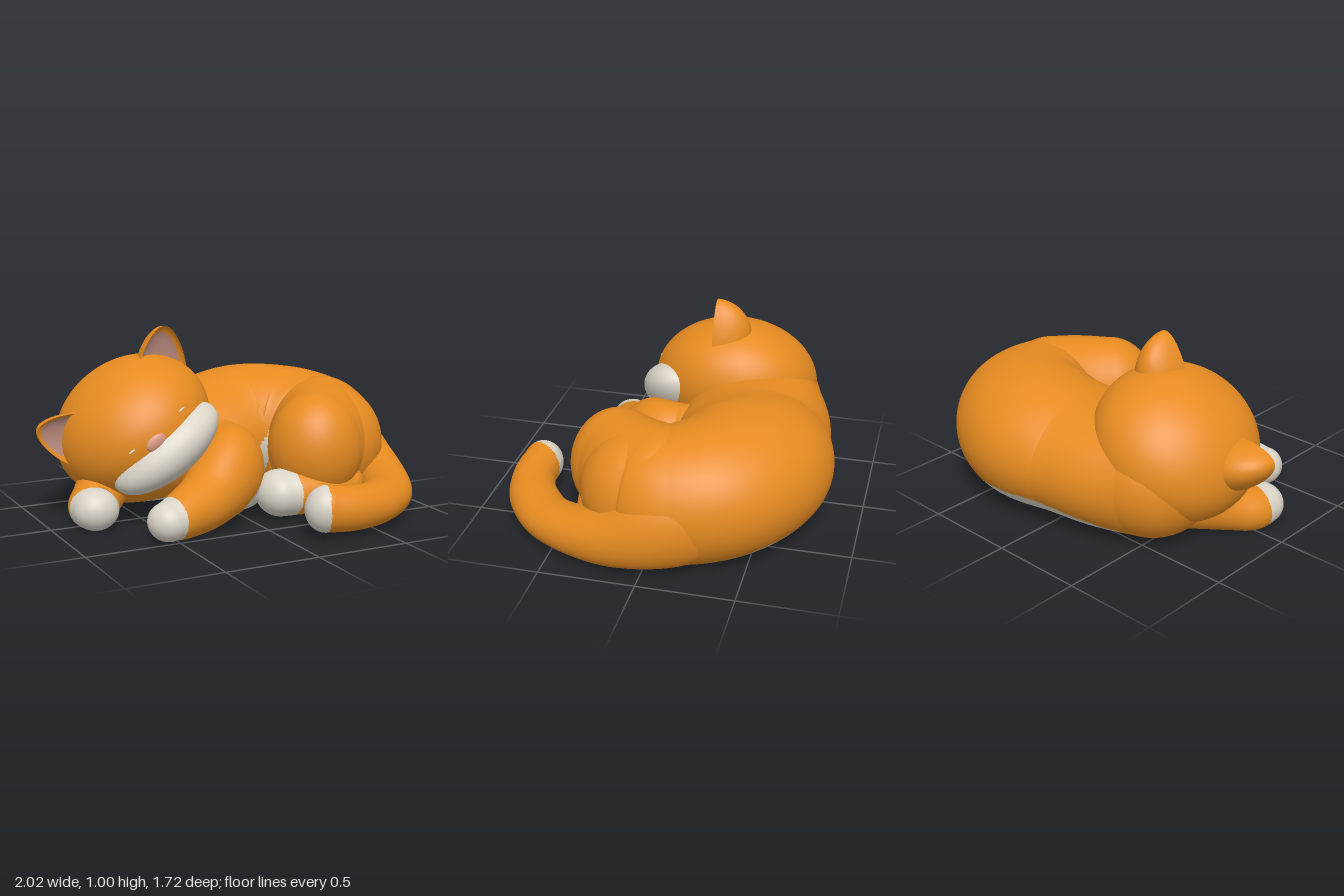
import * as THREE from 'three';

const material = (name, color) => Object.assign(new THREE.MeshStandardMaterial({ color }), { name });

// Index a grid of rings; triangles passing the rule go to the second material.
function gridMesh(name, verts, rings, sides, mats, rule) {
  const geo = new THREE.BufferGeometry();
  geo.setAttribute('position', new THREE.Float32BufferAttribute(verts.flatMap(v => [v.x, v.y, v.z]), 3));
  const lists = [[], []];
  const add = (a, b, c) => {
    const mid = verts[a].clone().add(verts[b]).add(verts[c]).divideScalar(3);
    lists[rule(mid) ? 1 : 0].push(a, b, c);
  };
  for (let i = 0; i < rings - 1; i++) {
    for (let j = 0; j < sides; j++) {
      const k = (j + 1) % sides;
      const a = i * sides + j, b = i * sides + k, c = a + sides, d = b + sides;
      add(a, c, b);
      add(b, c, d);
    }
  }
  geo.setIndex(lists[0].concat(lists[1]));
  geo.addGroup(0, lists[0].length, 0);
  geo.addGroup(lists[0].length, lists[1].length, 1);
  geo.computeVertexNormals();
  const mesh = new THREE.Mesh(geo, mats);
  mesh.name = name;
  return mesh;
}

// Round-ended sweep through stations [x, y, z, half width, half height], resting on a floor.
function sweep(name, stations, mats, rule, floor = 0.01, steps = 64, sides = 64) {
  const curve = pick => new THREE.CatmullRomCurve3(stations.map(pick), false, 'catmullrom');
  const path = curve(s => new THREE.Vector3(s[0], s[1], s[2]));
  const size = curve(s => new THREE.Vector3(s[3], s[4], 0));
  const verts = [], up = new THREE.Vector3(0, 1, 0), cap = 16;
  let rings = 0;
  const ring = (t, angle, dir) => {
    const T = path.getTangent(t), S = T.clone().cross(up).normalize(), U = S.clone().cross(T);
    const r = size.getPoint(t), k = Math.max(Math.sin(angle), 0.002);
    const c = path.getPoint(t).addScaledVector(T, dir * Math.cos(angle) * Math.min(r.x, r.y));
    for (let j = 0; j < sides; j++) {
      const a = j / sides * Math.PI * 2;
      const v = c.clone().addScaledVector(S, Math.cos(a) * r.x * k).addScaledVector(U, Math.sin(a) * r.y * k);
      v.y = Math.max(v.y, floor);
      verts.push(v);
    }
    rings++;
  };
  for (let i = 0; i < cap; i++) ring(0, i / cap * Math.PI / 2, -1);
  for (let i = 0; i <= steps; i++) ring(i / steps, Math.PI / 2, 0);
  for (let i = cap - 1; i >= 0; i--) ring(1, i / cap * Math.PI / 2, 1);
  return gridMesh(name, verts, rings, sides, mats, rule);
}

function ellipsoid(name, mat, pos, radii) {
  const mesh = new THREE.Mesh(new THREE.SphereGeometry(1, 64, 40).scale(...radii), mat);
  mesh.name = name;
  mesh.position.set(...pos);
  return mesh;
}

// Ear: a dome whose front is pushed back into a bowl with a coloured lining.
function ear(name, fur, lining) {
  const verts = [], rings = 41, sides = 56, w = 0.135, h = 0.205;
  for (let i = 0; i < rings; i++) {
    const f = Math.PI * (0.001 + 0.998 * i / (rings - 1));
    for (let j = 0; j < sides; j++) {
      const a = -j / sides * Math.PI * 2;
      const x = Math.sin(f) * Math.cos(a), y = Math.sin(f) * Math.sin(a), z = -Math.cos(f);
      verts.push(new THREE.Vector3(x * w * (1 - 0.28 * y), y * h, z * (z > 0 ? -0.07 : 0.19)));
    }
  }
  // the lining is the part of the bowl inside the rim
  const inside = v => v.z > -0.072 && (v.x / w / (1 - 0.28 * v.y / h)) ** 2 + (v.y / h) ** 2 < 0.7;
  return gridMesh(name, verts, rings, sides, [fur, lining], inside);
}

export function createModel() {
  const fur = material('orange fur', 0xe68b21);
  const white = material('white fur', 0xdad4c7);
  const pink = material('nose pink', 0xdc9a84);
  const lining = material('ear lining', 0xb98a7c);
  const two = [fur, white];
  const cat = new THREE.Group();
  cat.name = 'sleepingCat';

  // curled body with pale belly underneath
  const chestPatch = v => v.x > -0.15 && v.x < 0.28 && v.z > -0.1 && v.y < (v.x + 0.15) * 0.93;
  const belly = v => chestPatch(v) ||
    ((v.x - 0.15) / 0.68) ** 2 + ((v.y + 0.05) / 0.27) ** 2 + ((v.z + 0.5) / 0.55) ** 2 < 1;
  cat.add(sweep('body', [
    [-0.44, 0.34, -0.34, 0.35, 0.33],
    [-0.22, 0.325, -0.37, 0.4, 0.325],
    [0.03, 0.325, -0.39, 0.42, 0.33],
    [0.3, 0.345, -0.42, 0.43, 0.36],
    [0.52, 0.34, -0.3, 0.4, 0.36],
    [0.62, 0.32, -0.09, 0.355, 0.35],
    [0.6, 0.33, 0.08, 0.3, 0.32],
  ], two, belly, 0.01, 140, 128));
  cat.add(ellipsoid('chest', white, [0, 0.155, 0.08], [0.17, 0.14, 0.22]));

  // front legs
  cat.add(sweep('leftFrontLeg', [
    [-0.01, 0.31, -0.03, 0.15, 0.18],
    [-0.05, 0.26, 0.16, 0.18, 0.22],
    [-0.25, 0.16, 0.3, 0.16, 0.16],
    [-0.43, 0.12, 0.4, 0.13, 0.125],
    [-0.54, 0.105, 0.445, 0.11, 0.1],
  ], two, v => 0.95 * v.x - 0.25 * v.z < -0.585 || (v.x > -0.15 && v.y < (v.x + 0.15) * 0.93), 0.005, 80));
  cat.add(sweep('rightFrontLeg', [
    [-0.6, 0.2, -0.22, 0.15, 0.16],
    [-0.71, 0.14, -0.07, 0.135, 0.13],
    [-0.78, 0.112, 0.02, 0.125, 0.115],
    [-0.79, 0.112, 0.1, 0.12, 0.108],
  ], two, v => v.z - 0.25 * v.x > 0.26, 0.004));

  // hind leg
  cat.add(sweep('thigh', [
    [0.62, 0.355, -0.04, 0.3, 0.32],
    [0.54, 0.35, 0.1, 0.285, 0.312],
    [0.425, 0.345, 0.235, 0.255, 0.3],
  ], two, () => false, 0.03));
  cat.add(sweep('hindFoot', [
    [0.55, 0.14, 0.28, 0.15, 0.13],
    [0.35, 0.14, 0.31, 0.16, 0.13],
    [0.17, 0.135, 0.3, 0.145, 0.125],
  ], two, v => v.x < 0.23, 0.006));

  // tail wrapped around the side
  cat.add(sweep('tail', [
    [0.7, 0.35, -0.42, 0.13, 0.2],
    [0.83, 0.27, -0.14, 0.16, 0.22],
    [0.845, 0.17, 0.17, 0.14, 0.155],
    [0.725, 0.13, 0.49, 0.135, 0.115],
    [0.54, 0.13, 0.67, 0.13, 0.11],
    [0.35, 0.14, 0.745, 0.115, 0.115],
    [0.19, 0.155, 0.745, 0.108, 0.12],
  ], two, v => v.x + 0.35 * (v.z - 0.74) < 0.2, 0.012, 90));

  // head, resting tilted to one side
  const head = new THREE.Group();
  head.name = 'head';
  head.position.set(-0.46, 0.47, -0.15);
  head.rotation.z = 0.61;
  head.add(ellipsoid('skull', fur, [0, 0, -0.05], [0.435, 0.345, 0.455]));
  head.add(ellipsoid('muzzle', white, [0.01, -0.095, 0.25], [0.335, 0.15, 0.215]));
  head.add(ellipsoid('nose', pink, [-0.04, 0.025, 0.389], [0.065, 0.04, 0.022]));
  for (const s of [1, -1]) {
    const side = s > 0 ? 'left' : 'right';
    const e = ear(side + 'Ear', fur, lining);
    e.position.set(s * 0.31, 0.185, 0.035);
    e.rotation.z = -s * 0.66;
    head.add(e);
    head.add(ellipsoid(side + 'ClosedEye', white, [s * 0.16, 0.06, 0.362], [0.028, 0.006, 0.007]));
  }
  cat.add(head);
  return cat;
}
